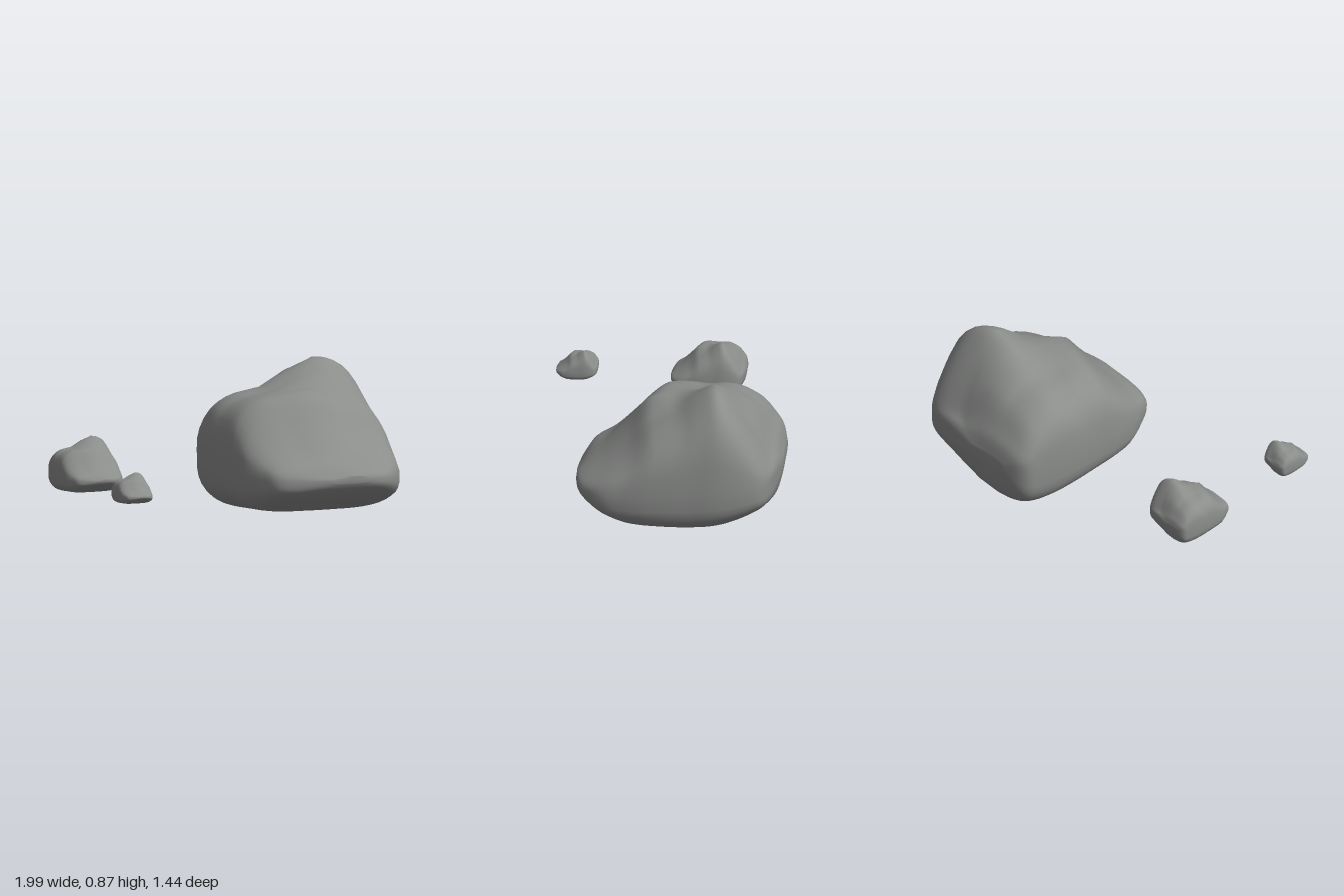
import * as THREE from 'three';

const SIDES = 40, STEPS = 4;

// Cross-sections from back to front:
// z, left x, right x, height of widest line, bottom at left / right, top at left / middle / right
const SECTIONS = [
  [-0.72, 0.19, 0.48, 0.32, 0.28, 0.29, 0.35, 0.35, 0.35],
  [-0.69, 0.09, 0.73, 0.32, 0.13, 0.22, 0.44, 0.43, 0.41],
  [-0.64, 0.035, 0.87, 0.32, 0.05, 0.17, 0.51, 0.51, 0.46],
  [-0.55, 0.015, 0.93, 0.33, 0.01, 0.12, 0.62, 0.67, 0.61],
  [-0.43, 0.0, 0.965, 0.33, 0.0, 0.07, 0.69, 0.78, 0.79],
  [-0.33, -0.005, 0.98, 0.33, 0.005, 0.045, 0.71, 0.81, 0.885],
  [-0.22, -0.005, 0.985, 0.32, 0.015, 0.035, 0.70, 0.77, 0.83],
  [-0.11, 0.0, 0.99, 0.31, 0.025, 0.035, 0.715, 0.735, 0.74],
  [0.0, 0.005, 0.99, 0.30, 0.035, 0.04, 0.71, 0.73, 0.68],
  [0.08, 0.015, 0.985, 0.29, 0.042, 0.045, 0.65, 0.70, 0.63],
  [0.18, 0.035, 0.97, 0.28, 0.06, 0.06, 0.54, 0.58, 0.52],
  [0.30, 0.09, 0.94, 0.27, 0.11, 0.11, 0.42, 0.45, 0.42],
  [0.40, 0.16, 0.86, 0.27, 0.17, 0.17, 0.35, 0.36, 0.35],
  [0.45, 0.33, 0.78, 0.27, 0.215, 0.215, 0.30, 0.31, 0.31],
  [0.47, 0.48, 0.68, 0.27, 0.25, 0.25, 0.28, 0.29, 0.29],
];

// Smooth value between neighbouring sections
function blend(a, b, c, d, t) {
  return b + 0.5 * t * (c - a + t * (2 * a - 5 * b + 4 * c - d + t * (3 * (b - c) + d - a)));
}

function smoothRows() {
  const rows = [], last = SECTIONS.length - 1;
  const at = i => SECTIONS[Math.min(last, Math.max(0, i))];
  for (let i = 0; i < last; i++) {
    for (let s = 0; s < STEPS; s++) {
      rows.push(at(i).map((v, k) => blend(at(i - 1)[k], v, at(i + 1)[k], at(i + 2)[k], s / STEPS)));
    }
  }
  rows.push(at(last));
  return rows;
}

const power = (v, e) => Math.sign(v) * Math.abs(v) ** e;

function rockGeometry() {
  const rows = smoothRows(), points = [], index = [];
  for (const [z, left, right, wide, bottomL, bottomR, topL, topM, topR] of rows) {
    for (let j = 0; j < SIDES; j++) {
      const a = (j / SIDES) * Math.PI * 2;
      // Squarer below than above
      const round = Math.sin(a) > 0 ? 0.62 : 0.52;
      const u = power(Math.cos(a), round), v = power(Math.sin(a), round);
      // Top and bottom heights vary smoothly across the width
      const k = THREE.MathUtils.smoothstep(Math.abs(u), 0, 0.38);
      const top = topM + ((u < 0 ? topL : topR) - topM) * k;
      const bottom = bottomL + (bottomR - bottomL) * THREE.MathUtils.smoothstep(u, -0.3, 0.9);
      const y = wide + v * (v > 0 ? top - wide : wide - bottom);
      // The sides lean inwards above the widest line
      const lean = 1 - Math.max(0, v) * (u > 0 ? 0.07 : 0.02);
      // The ridges on top curve backwards towards the sides
      const bow = 0.1 * u * u * Math.max(0, v) * Math.max(0, 1 - ((z + 0.12) / 0.6) ** 2);
      points.push((left + right) / 2 + (u * lean * (right - left)) / 2, y, z - bow);
    }
  }
  for (let i = 0; i < rows.length - 1; i++) {
    for (let j = 0; j < SIDES; j++) {
      const n = (j + 1) % SIDES;
      const a = i * SIDES + j, b = i * SIDES + n;
      index.push(a, b, b + SIDES, a, b + SIDES, a + SIDES);
    }
  }
  // Close both ends
  for (const r of [0, rows.length - 1]) {
    const [z, left, right, wide] = rows[r];
    const centre = points.length / 3;
    points.push((left + right) / 2, wide, z);
    for (let j = 0; j < SIDES; j++) {
      const a = r * SIDES + j, b = r * SIDES + ((j + 1) % SIDES);
      if (r === 0) index.push(centre, b, a);
      else index.push(centre, a, b);
    }
  }
  const geometry = new THREE.BufferGeometry();
  geometry.setAttribute('position', new THREE.Float32BufferAttribute(points, 3));
  geometry.setIndex(index);
  geometry.computeVertexNormals();
  return geometry;
}

export function createModel() {
  const group = new THREE.Group();
  group.name = 'rocks';
  const geometry = rockGeometry();
  const material = new THREE.MeshStandardMaterial({ color: 0x8b8d8b });

  // One boulder and two smaller copies
  const rocks = [
    ['largeRock', 1, 0.003, 0, 0],
    ['mediumRock', 0.366, -0.998, 0.178, -0.127],
    ['smallRock', 0.203, -0.919, 0.222, 0.62],
  ];
  for (const [name, scale, x, y, z] of rocks) {
    const rock = new THREE.Mesh(geometry, material);
    rock.name = name;
    rock.scale.setScalar(scale);
    rock.position.set(x, y, z);
    group.add(rock);
  }
  return group;
}
